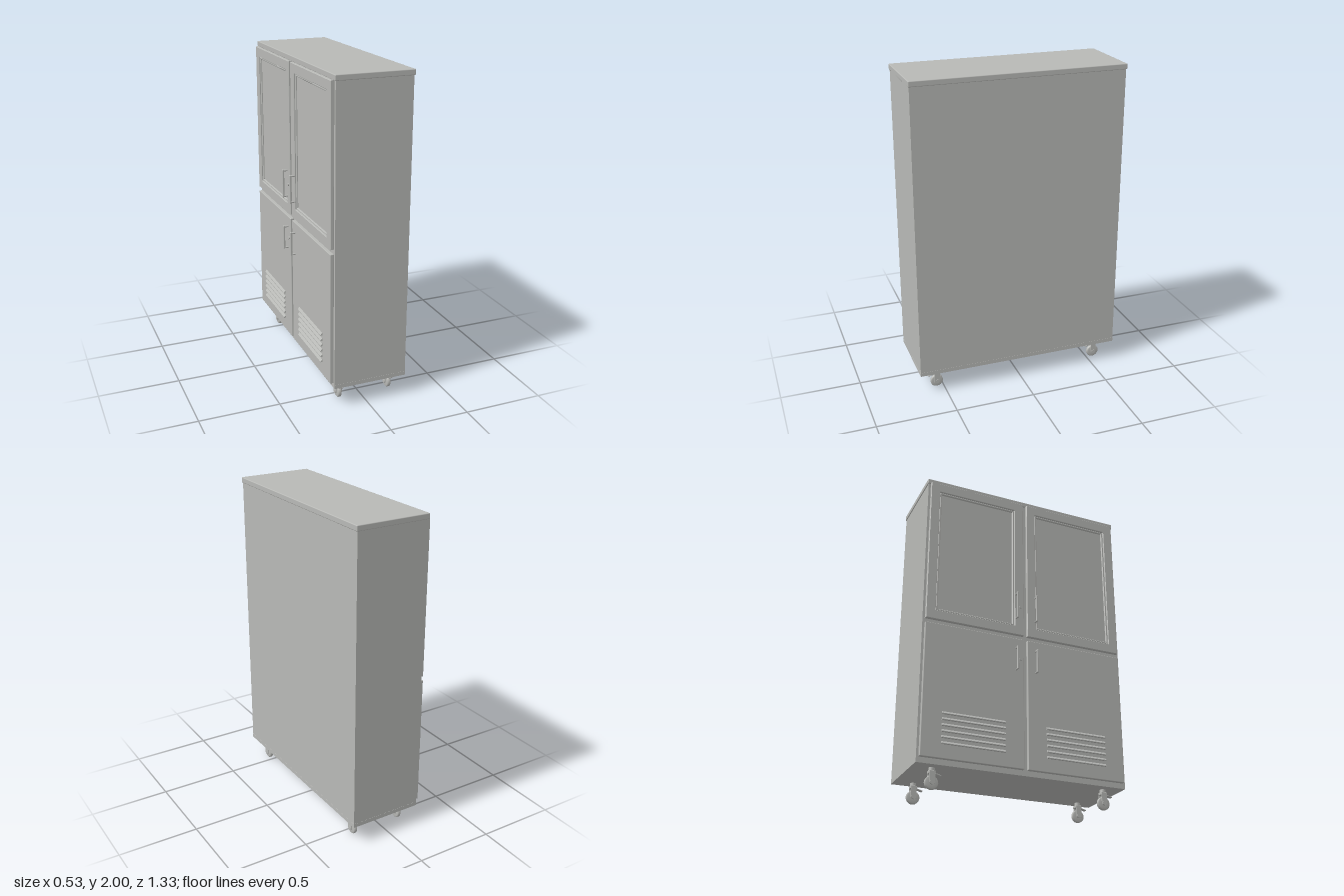
import * as THREE from 'three';
import { RoundedBoxGeometry } from 'three/addons/geometries/RoundedBoxGeometry.js';

const steel = new THREE.MeshStandardMaterial({ color: 0xb8b9b6 });
steel.name = 'brushed steel';

function add(parent, name, geometry, x = 0, y = 0, z = 0) {
  const mesh = new THREE.Mesh(geometry, steel);
  mesh.name = name;
  mesh.position.set(x, y, z);
  parent.add(mesh);
  return mesh;
}

function group(parent, name, x = 0, y = 0, z = 0) {
  const g = new THREE.Group();
  g.name = name;
  g.position.set(x, y, z);
  parent.add(g);
  return g;
}

// Box given by its limits
function span(parent, name, x0, x1, y0, y1, z0, z1, r = 0) {
  const size = [x1 - x0, y1 - y0, z1 - z0];
  const geo = r ? new RoundedBoxGeometry(...size, 2, r) : new THREE.BoxGeometry(...size);
  return add(parent, name, geo, (x0 + x1) / 2, (y0 + y1) / 2, (z0 + z1) / 2);
}

function rect(path, w, h) {
  path.moveTo(-w / 2, -h / 2);
  path.lineTo(w / 2, -h / 2);
  path.lineTo(w / 2, h / 2);
  path.lineTo(-w / 2, h / 2);
  path.closePath();
  return path;
}

// Bevelled rectangular ring standing in the z-y plane and growing toward -x
function ring(w, h, border, depth, bevel) {
  const shape = rect(new THREE.Shape(), w, h);
  shape.holes.push(rect(new THREE.Path(), w - 2 * border, h - 2 * border));
  const geo = new THREE.ExtrudeGeometry(shape, {
    depth: depth - 2 * bevel, bevelEnabled: true, bevelThickness: bevel,
    bevelSize: bevel, bevelOffset: -bevel, bevelSegments: 1,
  });
  geo.translate(0, 0, bevel);
  geo.rotateY(-Math.PI / 2);
  return geo;
}

// Pull handle with two round standoffs
function addHandle(parent, y0, y1, z) {
  const handle = group(parent, 'handle');
  span(handle, 'handleBar', -0.265, -0.253, y0, y1, z - 0.006, z + 0.006, 0.004);
  for (const y of [y0 + 0.007, y1 - 0.007]) {
    add(handle, 'handleStandoff', new THREE.CylinderGeometry(0.006, 0.006, 0.03, 12), -0.244, y, z)
      .rotation.z = Math.PI / 2;
  }
}

function addLock(parent, y) {
  add(parent, 'lock', new THREE.CylinderGeometry(0.009, 0.009, 0.012, 16), -0.235, y, -0.035)
    .rotation.z = Math.PI / 2;
}

// Sloped louvre: a wedge profile stretched along z
function louvreGeometry(length) {
  const s = new THREE.Shape();
  s.moveTo(0, 0.011);
  s.lineTo(-0.013, -0.003);
  s.lineTo(-0.013, -0.007);
  s.lineTo(0, -0.007);
  s.closePath();
  const geo = new THREE.ExtrudeGeometry(s, { depth: length, bevelEnabled: false });
  return geo.translate(0, 0, -length / 2);
}

function addCaster(parent, x, z) {
  const caster = group(parent, 'caster', x, 0, z);
  const tread = [[0.012, -0.012], [0.034, -0.012], [0.04, -0.007], [0.04, 0.007], [0.034, 0.012], [0.012, 0.012]]
    .map(([r, h]) => new THREE.Vector2(r, h));
  add(caster, 'wheel', new THREE.LatheGeometry(tread, 28), 0, 0.04, 0).rotation.z = Math.PI / 2;
  add(caster, 'axle', new THREE.CylinderGeometry(0.013, 0.013, 0.046, 16), 0, 0.04, 0).rotation.z = Math.PI / 2;
  for (const side of [-1, 1]) {
    span(caster, 'forkArm', side * 0.0175 - 0.003, side * 0.0175 + 0.003, 0.032, 0.105, -0.018, 0.018, 0.002);
  }
  span(caster, 'forkCrown', -0.0205, 0.0205, 0.09, 0.108, -0.02, 0.02, 0.004);
  add(caster, 'swivelStem', new THREE.CylinderGeometry(0.018, 0.018, 0.025, 20), 0, 0.117, 0);
  // Brake pedal
  const pedal = add(caster, 'brakePedal', new RoundedBoxGeometry(0.026, 0.006, 0.042, 2, 0.002), 0, 0.088, 0.036);
  pedal.rotation.x = 0.25;
}

export function createModel() {
  const model = new THREE.Group();
  model.name = 'cabinet';

  // Carcass
  span(model, 'body', -0.209, 0.255, 0.15, 1.968, -0.659, 0.659);
  span(model, 'basePlate', -0.209, 0.256, 0.125, 0.15, -0.66, 0.66);
  span(model, 'topSlab', -0.215, 0.262, 1.966, 2, -0.664, 0.664, 0.005);

  // Two columns of doors, hinged at the outer edges
  const columns = [
    { z0: -0.646, z1: -0.014, handleZ: -0.065, ventZ: -0.33 },
    { z0: 0.011, z1: 0.643, handleZ: 0.065, ventZ: 0.325 },
  ];
  for (const { z0, z1, handleZ, ventZ } of columns) {
    const zc = (z0 + z1) / 2;
    const w = z1 - z0;

    // Upper door with a recessed panel
    const upper = group(model, 'upperDoor');
    const y0 = 1.008, y1 = 1.968, yc = (y0 + y1) / 2, h = y1 - y0;
    add(upper, 'doorFrame', ring(w, h, 0.06, 0.023, 0.003), -0.209, yc, zc);
    add(upper, 'panelBead', ring(w - 0.12, h - 0.12, 0.014, 0.016, 0.004), -0.209, yc, zc);
    span(upper, 'recessedPanel', -0.216, -0.208, y0 + 0.06, y1 - 0.06, z0 + 0.06, z1 - 0.06);
    addHandle(upper, 1.11, 1.29, handleZ);

    // Lower door with louvres
    const lower = group(model, 'lowerDoor');
    span(lower, 'doorPanel', -0.232, -0.208, 0.157, 0.98, z0, z1, 0.004);
    addHandle(lower, 0.765, 0.92, handleZ);
    for (let i = 0; i < 6; i++) {
      add(lower, 'louvre', louvreGeometry(0.39), -0.231, 0.247 + i * 0.0355, ventZ);
    }
  }
  addLock(model, 1.2);
  addLock(model, 0.845);

  for (const x of [-0.14, 0.19]) {
    for (const z of [-0.543, 0.543]) addCaster(model, x, z);
  }
  return model;
}
